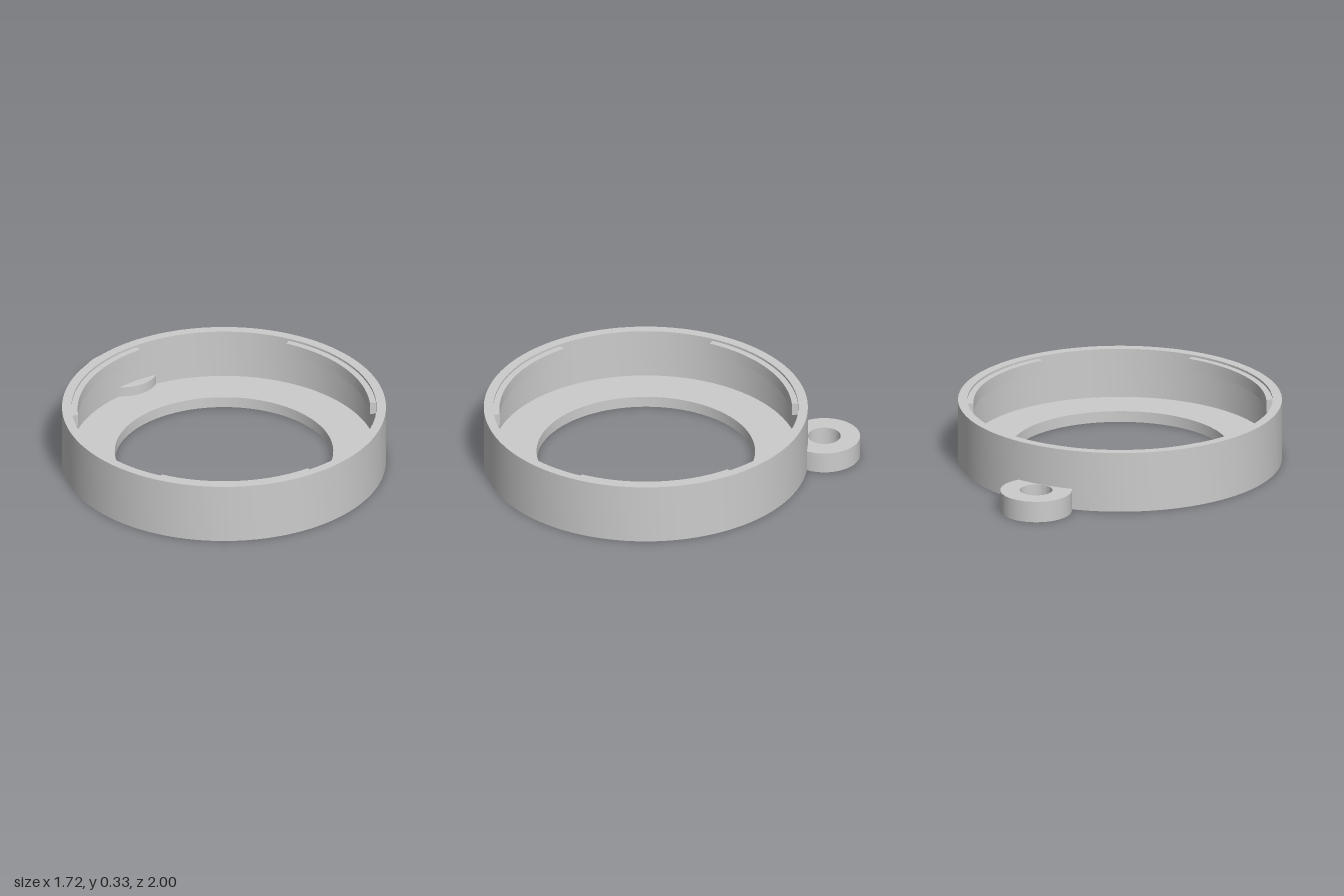
import * as THREE from 'three';
import { toCreasedNormals } from 'three/addons/utils/BufferGeometryUtils.js';

const OUTER = 0.86, WALL = 0.81, BORE = 0.58, HEIGHT = 0.33, FLOOR = 0.06;
const LUG_DIST = 0.95, LUG_R = 0.19, LUG_HOLE = 0.087, LUG_TOP = 0.115;

export function createModel() {
  const model = new THREE.Group();
  model.name = 'ringCover';
  const grey = new THREE.MeshStandardMaterial({ color: 0xcccccc });
  grey.name = 'grey';

  function add(geometry, name) {
    const mesh = new THREE.Mesh(toCreasedNormals(geometry, 0.5), grey);
    mesh.name = name;
    mesh.position.z = 0.14;
    model.add(mesh);
  }

  // Flat outline raised from y0 to y1; shape +y points to the back
  function slab(shape, y0, y1) {
    const g = new THREE.ExtrudeGeometry(shape, { depth: y1 - y0, bevelEnabled: false, curveSegments: 64 });
    return g.rotateX(-Math.PI / 2).translate(0, y0, 0);
  }

  // Half angles where the lug circle meets a circle of radius r round the ring axis
  function meet(r) {
    const a = Math.acos((LUG_DIST ** 2 + LUG_R ** 2 - r ** 2) / (2 * LUG_DIST * LUG_R));
    return [a, Math.asin(LUG_R * Math.sin(a) / r)];
  }

  // Cup-shaped ring: outer wall with an inward floor flange
  const profile = [
    [BORE, 0], [OUTER, 0], [OUTER, HEIGHT], [WALL, HEIGHT],
    [WALL, FLOOR], [BORE, FLOOR], [BORE, 0],
  ].map(([x, y]) => new THREE.Vector2(x, y));
  add(new THREE.LatheGeometry(profile, 128), 'ringBody');

  // Three locking tabs inside the rim
  for (let i = 0; i < 3; i++) {
    const start = -Math.PI / 6 + i * Math.PI * 2 / 3, end = start + Math.PI / 3;
    const tab = new THREE.Shape();
    tab.absarc(0, 0, WALL + 0.01, start, end, false);
    tab.absarc(0, 0, 0.777, end, start, true);
    tab.closePath();
    add(slab(tab, 0.25, 0.318), 'lockingTab' + (i + 1));
  }

  // Eyelet behind the ring, trimmed to the outer wall
  const half = Math.PI / 2;
  const [a, b] = meet(OUTER);
  const eyelet = new THREE.Shape();
  eyelet.absarc(0, LUG_DIST, LUG_R, -half + a, 3 * half - a, false);
  eyelet.absarc(0, 0, OUTER, half + b, half - b, true);
  eyelet.closePath();
  const hole = new THREE.Path();
  hole.absarc(0, LUG_DIST, LUG_HOLE, 0, Math.PI * 2, true);
  eyelet.holes.push(hole);
  add(slab(eyelet, 0, LUG_TOP), 'eyelet');

  // Root of the eyelet showing inside the wall
  const [c, d] = meet(WALL + 0.025);
  const root = new THREE.Shape();
  root.absarc(0, LUG_DIST, LUG_R, 3 * half - c, 3 * half + c, false);
  root.absarc(0, 0, WALL + 0.025, half - d, half + d, false);
  root.closePath();
  add(slab(root, FLOOR / 2, LUG_TOP), 'eyeletRoot');

  return model;
}
